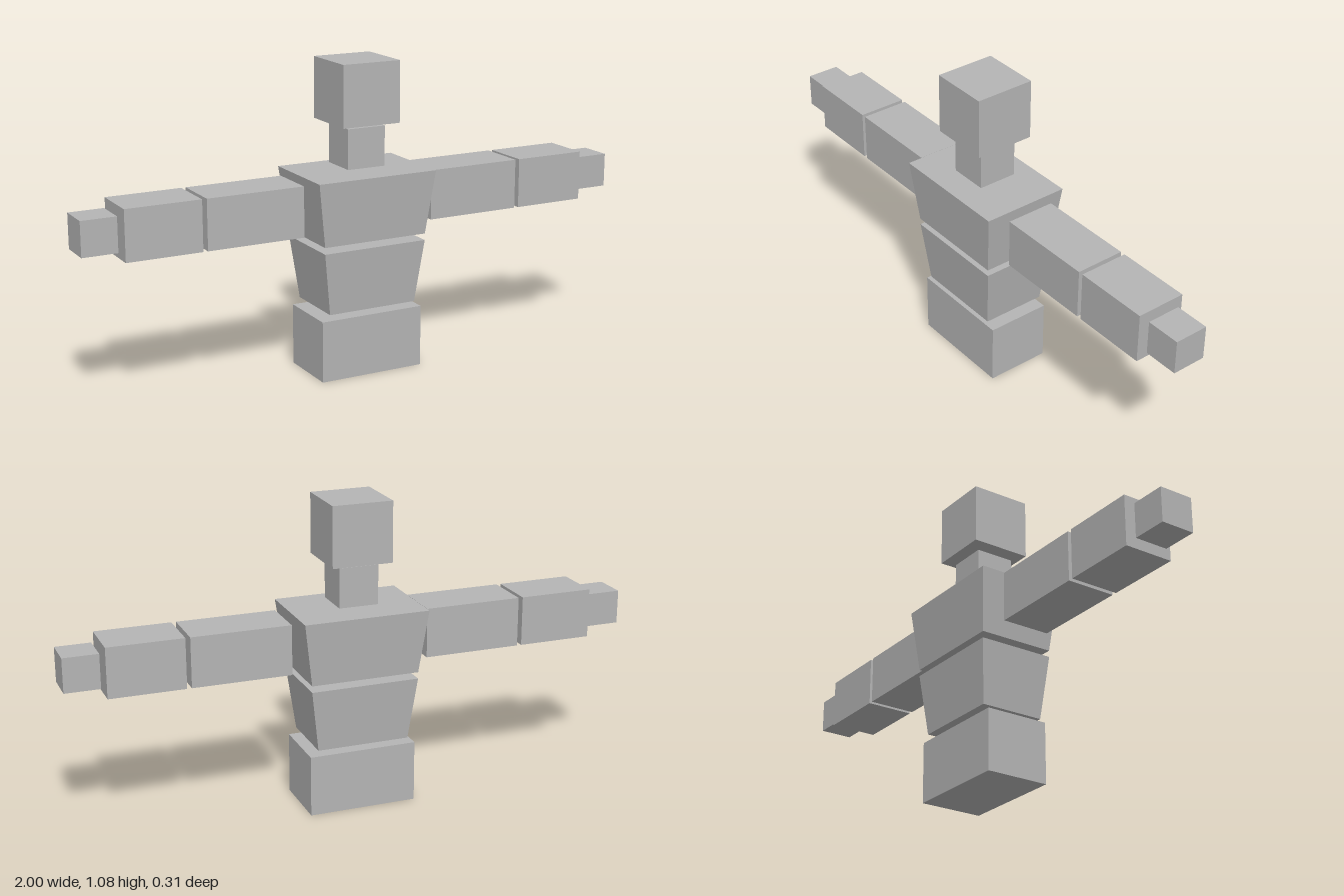
import * as THREE from 'three';

export function createModel() {
  const model = new THREE.Group();
  model.name = 'blockFigure';
  const grey = new THREE.MeshStandardMaterial({ color: 0xb4b4b4 });
  grey.name = 'plain grey';

  // Block between two heights; the bottom may be narrower than the top
  function block(name, y0, y1, width, depth, bottomWidth = width, bottomDepth = depth) {
    let geometry = new THREE.BoxGeometry(width, y1 - y0, depth);
    const p = geometry.attributes.position;
    for (let i = 0; i < p.count; i++) {
      if (p.getY(i) < 0) {
        p.setX(i, Math.sign(p.getX(i)) * bottomWidth / 2);
        p.setZ(i, Math.sign(p.getZ(i)) * bottomDepth / 2);
      }
    }
    geometry = geometry.toNonIndexed();
    geometry.computeVertexNormals();
    const mesh = new THREE.Mesh(geometry, grey);
    mesh.name = name;
    mesh.position.y = (y0 + y1) / 2;
    model.add(mesh);
    return mesh;
  }

  // Torso and head, with gaps between the blocks
  block('hips', 0, 0.214, 0.381, 0.226);
  block('waist', 0.236, 0.456, 0.382, 0.27, 0.326, 0.228);
  block('chest', 0.479, 0.701, 0.441, 0.31, 0.382, 0.27);
  block('neck', 0.716, 0.854, 0.139, 0.139);
  block('head', 0.866, 1.077, 0.212, 0.212);

  // Arms stretched out sideways: name, inner x, outer x, thickness
  const armParts = [
    ['UpperArm', 0.243, 0.588, 0.174],
    ['Forearm', 0.604, 0.866, 0.174],
    ['Hand', 0.879, 1, 0.119],
  ];
  for (const [side, s] of [['left', 1], ['right', -1]]) {
    for (const [name, x0, x1, t] of armParts) {
      block(side + name, 0.597 - t / 2, 0.597 + t / 2, x1 - x0, t).position.x = s * (x0 + x1) / 2;
    }
  }
  return model;
}
